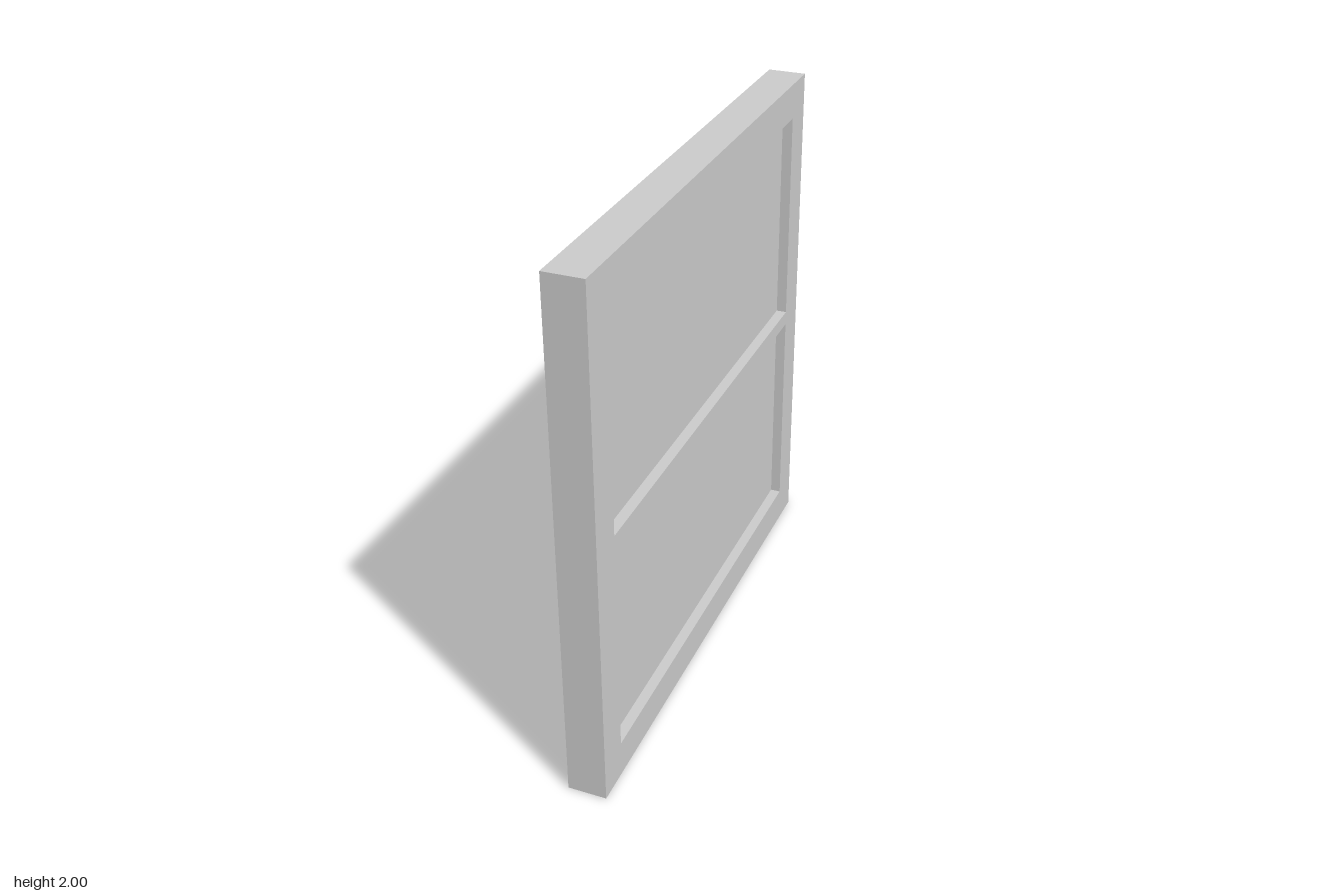
import * as THREE from 'three';

const material = new THREE.MeshStandardMaterial({ color: 0xcccccc, flatShading: true, side: THREE.DoubleSide });

const HALF_DEPTH = 0.073;  // half the thickness of the whole panel
const RECESS = 0.04;       // how far the inner panels are set back

// Corners of a rectangle, counter-clockwise
const rect = (halfWidth, y0, y1) => [
  new THREE.Vector2(-halfWidth, y0), new THREE.Vector2(halfWidth, y0),
  new THREE.Vector2(halfWidth, y1), new THREE.Vector2(-halfWidth, y1),
];

// Open band of flat walls along an outline, from depth d0 to d1
function band(outline, d0, d1) {
  const positions = [];
  outline.forEach((a, i) => {
    const b = outline[(i + 1) % outline.length];
    positions.push(a.x, a.y, d0, b.x, b.y, d0, b.x, b.y, d1);
    positions.push(a.x, a.y, d0, b.x, b.y, d1, a.x, a.y, d1);
  });
  const geometry = new THREE.BufferGeometry();
  geometry.setAttribute('position', new THREE.Float32BufferAttribute(positions, 3));
  geometry.computeVertexNormals();
  return geometry;
}

export function createModel() {
  const model = new THREE.Group();
  model.name = 'windowPanel';

  // Parts are drawn facing +z, then turned to face +x
  const add = (name, geometry) => {
    const mesh = new THREE.Mesh(geometry.rotateY(Math.PI / 2), material);
    mesh.name = name;
    model.add(mesh);
  };

  const outer = rect(1, 0, 2);
  const openings = { lower: rect(0.865, 0.14, 0.973), upper: rect(0.865, 1.029, 1.863) };

  // Face of the frame with both openings, and the rim around it, open at the back
  const face = new THREE.Shape(outer);
  face.holes = Object.values(openings).map((o) => new THREE.Path([...o].reverse()));
  add('frameFace', new THREE.ShapeGeometry(face).translate(0, 0, HALF_DEPTH));
  add('outerRim', band(outer, -HALF_DEPTH, HALF_DEPTH));

  // Set-back panels with the walls leading to them
  for (const [name, outline] of Object.entries(openings)) {
    const depth = HALF_DEPTH - RECESS;
    add(name + 'RecessWalls', band([...outline].reverse(), depth, HALF_DEPTH));
    add(name + 'Panel', new THREE.ShapeGeometry(new THREE.Shape(outline)).translate(0, 0, depth));
  }
  return model;
}
